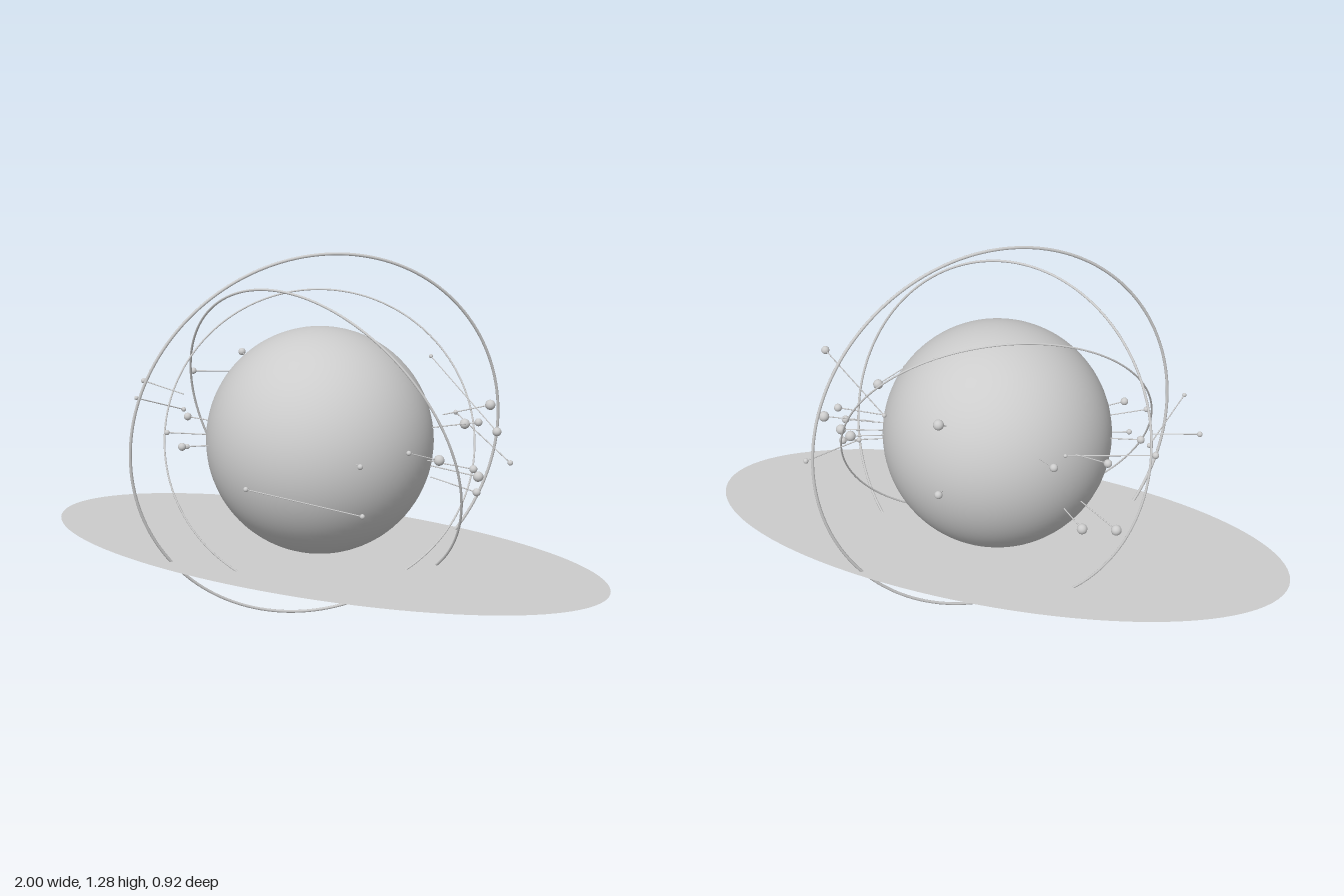
import * as THREE from 'three';

export function createModel() {
  const group = new THREE.Group();
  group.name = 'orbitSculpture';
  const grey = new THREE.MeshStandardMaterial({ color: 0xcccccc, side: THREE.DoubleSide });
  grey.name = 'light grey';

  const center = new THREE.Vector3(0, 0.645, -0.023);
  const coreRadius = 0.376;
  const up = new THREE.Vector3(0, 1, 0);
  const front = new THREE.Vector3(0, 0, 1);

  const add = (name, geometry, position) => {
    const mesh = new THREE.Mesh(geometry, grey);
    mesh.name = name;
    mesh.position.copy(position);
    group.add(mesh);
    return mesh;
  };

  // Thin rod between two points
  const addRod = (from, to) => {
    const dir = to.clone().sub(from);
    const rod = add('rod', new THREE.CylinderGeometry(0.002, 0.002, dir.length(), 6), from.clone().lerp(to, 0.5));
    rod.quaternion.setFromUnitVectors(up, dir.normalize());
  };

  // Ball on a short rod that points in towards the core
  const addSatellite = (position, radius) => {
    add('satelliteBall', new THREE.SphereGeometry(radius, 16, 12), position);
    const inward = center.clone().sub(position);
    const gap = inward.length() - coreRadius;
    addRod(position, position.clone().addScaledVector(inward.normalize(), Math.min(gap, 0.16)));
  };

  // Two balls joined by a long rod
  const addPair = (a, radiusA, b, radiusB) => {
    add('pairBall', new THREE.SphereGeometry(radiusA, 16, 12), a);
    add('pairBall', new THREE.SphereGeometry(radiusB, 16, 12), b);
    addRod(a, b);
  };

  // Central sphere
  add('coreSphere', new THREE.SphereGeometry(coreRadius, 64, 48), center);

  // Thin oval plate under the sphere
  const plate = add('basePlate', new THREE.CircleGeometry(1, 96), new THREE.Vector3(0, 0.26, -0.025));
  plate.rotation.x = -Math.PI / 2;
  plate.scale.set(1, 0.418, 1);

  // Tilted orbit rings, each facing along its own normal
  const addRing = (radius, tube, normal) => {
    const ring = add('orbitRing', new THREE.TorusGeometry(radius, tube, 10, 160), center);
    ring.quaternion.setFromUnitVectors(front, normal.normalize());
  };
  addRing(0.636, 0.005, new THREE.Vector3(0.675, -0.095, 0.731));
  addRing(0.563, 0.004, new THREE.Vector3(-0.245, -0.333, 0.91));
  addRing(0.513, 0.003, new THREE.Vector3(0.4, 0.45, 0.79));

  // Large, medium and small satellites
  const large = [
    [0.5, 0.76, -0.28], [0.42, 0.69, -0.26], [0.54, 0.58, -0.07],
    [0.07, 0.87, -0.38], [-0.48, 0.54, -0.29], [-0.37, 0.52, -0.29],
  ];
  const medium = [
    [0.5, 0.73, -0.17], [0.53, 0.61, -0.05], [0.54, 0.53, -0.06], [0.06, 0.64, -0.42],
    [-0.46, 0.82, -0.35], [-0.3, 0.79, -0.38], [-0.47, 0.68, 0.03], [-0.35, 0.66, 0.28],
  ];
  const small = [
    [0.28, 0.68, 0.28], [-0.67, 0.77, -0.02], [-0.4, 0.62, 0.16], [-0.44, 0.68, 0.22],
  ];
  large.forEach((p) => addSatellite(new THREE.Vector3(...p), 0.017));
  medium.forEach((p) => addSatellite(new THREE.Vector3(...p), 0.013));
  small.forEach((p) => addSatellite(new THREE.Vector3(...p), 0.009));

  // Long rods with a ball at each end
  addPair(new THREE.Vector3(0.65, 0.787, 0.08), 0.014, new THREE.Vector3(0.246, 0.873, -0.385), 0.007);
  addPair(new THREE.Vector3(-0.028, 0.615, 0.452), 0.008, new THREE.Vector3(0.33, 0.556, 0.374), 0.008);
  addPair(new THREE.Vector3(0.47, 0.675, 0.1), 0.017, new THREE.Vector3(0.4, 0.712, 0.18), 0.008);
  addPair(new THREE.Vector3(0.578, 0.571, -0.275), 0.009, new THREE.Vector3(0.37, 0.712, -0.305), 0.008);
  addPair(new THREE.Vector3(-0.57, 0.775, 0.193), 0.007, new THREE.Vector3(-0.508, 0.69, -0.01), 0.008);
  addPair(new THREE.Vector3(-0.57, 0.775, -0.192), 0.011, new THREE.Vector3(-0.31, 0.78, -0.29), 0.006);

  return group;
}
